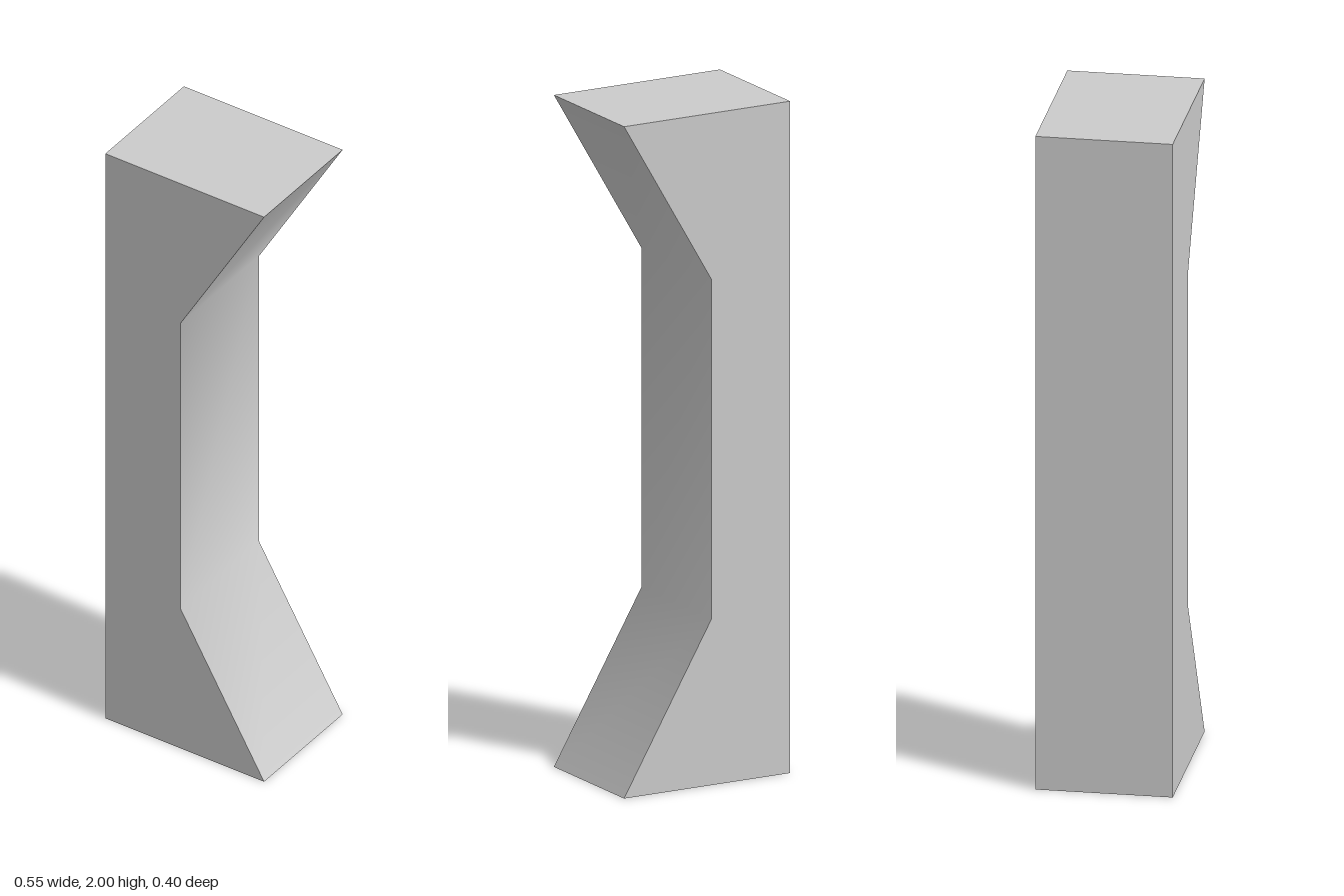
import * as THREE from 'three';
import { toCreasedNormals } from 'three/addons/utils/BufferGeometryUtils.js';

const HALF_WIDTH = 0.276, DEPTH = 0.4, HEIGHT = 2;
const RECESS_X = -0.015, RECESS_Y = 0.495;

export function createModel() {
  const group = new THREE.Group();
  group.name = 'bracketPost';

  // Side profile: straight back edge, flared ends around a recessed middle
  const profile = new THREE.Shape([
    [-HALF_WIDTH, 0],
    [HALF_WIDTH, 0],
    [RECESS_X, RECESS_Y],
    [RECESS_X, HEIGHT - RECESS_Y],
    [HALF_WIDTH, HEIGHT],
    [-HALF_WIDTH, HEIGHT],
  ].map(([x, y]) => new THREE.Vector2(x, y)));

  const extruded = new THREE.ExtrudeGeometry(profile, { depth: DEPTH, bevelEnabled: false });
  extruded.translate(0, 0, -DEPTH / 2);

  // The recess shades smoothly across its shallow bends; outer edges stay sharp
  const geometry = toCreasedNormals(extruded, Math.PI / 4);
  const post = new THREE.Mesh(geometry, new THREE.MeshStandardMaterial({ color: 0xcccccc }));
  post.name = 'flaredPost';
  group.add(post);
  return group;
}
